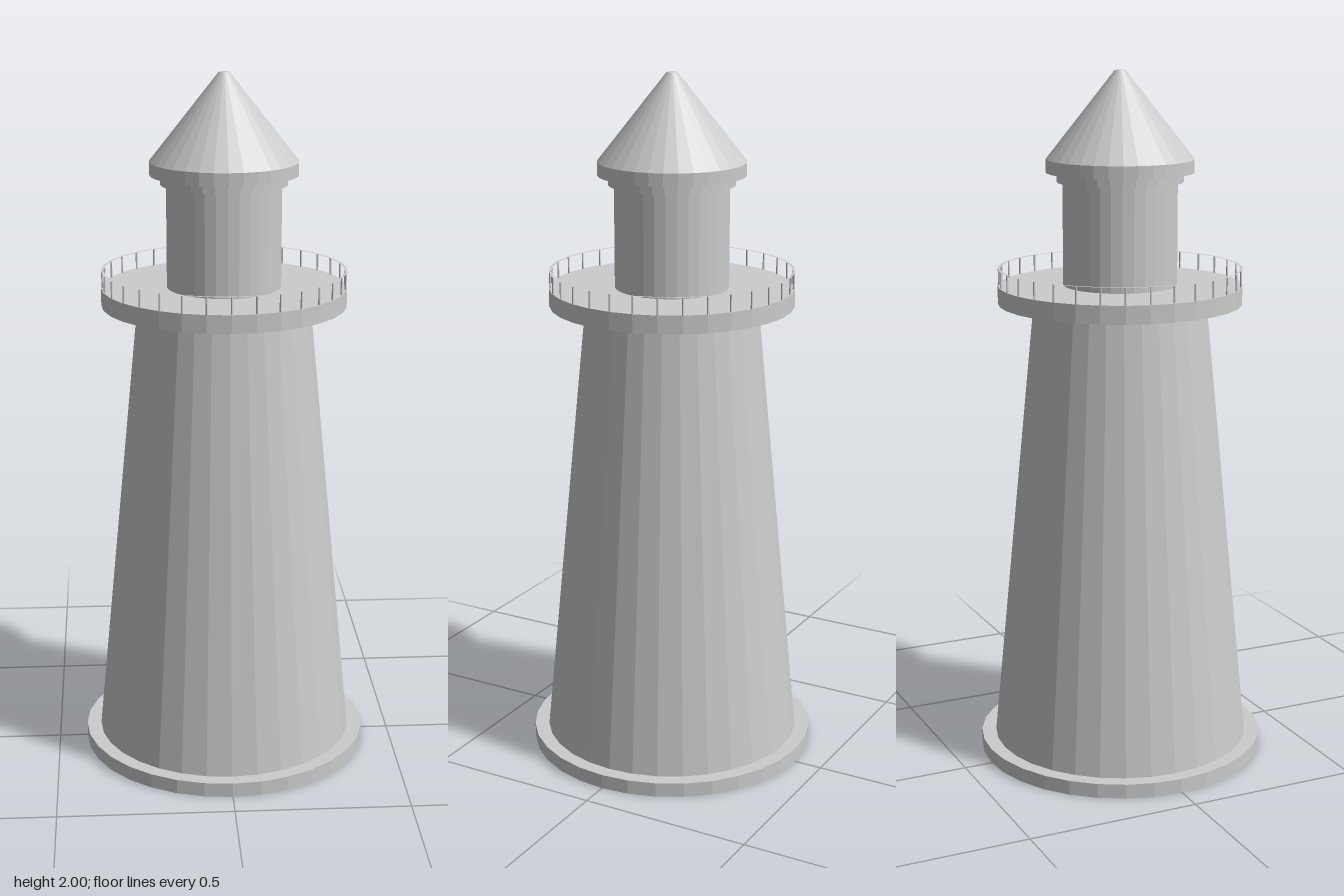
import * as THREE from 'three';

const SEGMENTS = 32;

export function createModel() {
  const group = new THREE.Group();
  const material = new THREE.MeshStandardMaterial({ color: 0xcccccc, flatShading: true });
  const thin = new THREE.MeshStandardMaterial({ color: 0xcccccc, side: THREE.DoubleSide });

  // Round section standing between two heights
  const section = (name, bottomRadius, topRadius, y0, y1) => {
    const geometry = new THREE.CylinderGeometry(topRadius, bottomRadius, y1 - y0, SEGMENTS);
    const mesh = new THREE.Mesh(geometry, material);
    mesh.position.y = (y0 + y1) / 2;
    mesh.name = name;
    group.add(mesh);
  };

  section('base', 0.417, 0.417, 0, 0.042);
  section('tower', 0.375, 0.248, 0.042, 1.345);
  section('galleryDeck', 0.35, 0.35, 1.345, 1.397);
  section('lanternRoom', 0.163, 0.163, 1.397, 1.69);
  section('roofCollar', 0.18, 0.18, 1.69, 1.717);
  section('roofBrim', 0.21, 0.21, 1.717, 1.754);
  section('roof', 0.21, 0.015, 1.754, 2);

  // Gallery railing: slim posts carrying a flat handrail
  const railing = new THREE.Group();
  railing.name = 'railing';
  const postGeometry = new THREE.CylinderGeometry(0.003, 0.003, 0.05, 6);
  for (let i = 0; i < SEGMENTS; i++) {
    const angle = (i / SEGMENTS) * Math.PI * 2;
    const post = new THREE.Mesh(postGeometry, material);
    post.name = 'railingPost';
    post.position.set(Math.sin(angle) * 0.346, 1.421, Math.cos(angle) * 0.346);
    railing.add(post);
  }
  const handrail = new THREE.Mesh(new THREE.RingGeometry(0.342, 0.35, SEGMENTS), thin);
  handrail.name = 'handrail';
  handrail.rotation.x = -Math.PI / 2;
  handrail.position.y = 1.446;
  railing.add(handrail);
  group.add(railing);

  return group;
}
